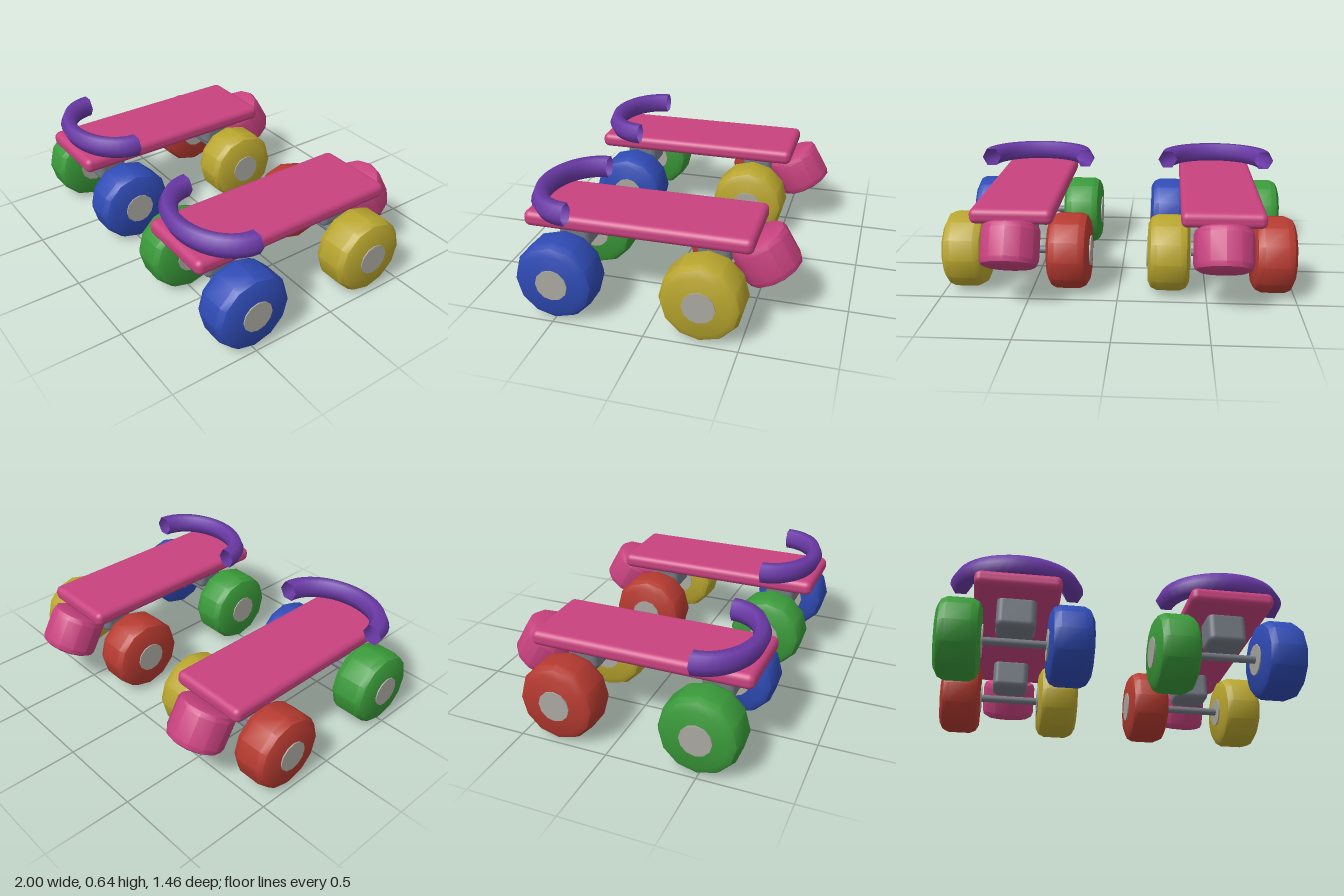
import * as THREE from 'three';
import { toCreasedNormals } from 'three/addons/utils/BufferGeometryUtils.js';
import { RoundedBoxGeometry } from 'three/addons/geometries/RoundedBoxGeometry.js';

const mat = (color, extra = {}) => new THREE.MeshStandardMaterial({ color, ...extra });
const MATS = {
  pink: mat(0xc8427f),
  purple: mat(0x6b3aa8, { side: THREE.DoubleSide }),
  metal: mat(0x737983),
  hub: mat(0xaaa8a0),
  green: mat(0x3a9a3a),
  blue: mat(0x2f4bb5),
  red: mat(0xb53a30),
  yellow: mat(0xb8a52e),
};

const WHEEL_Y = 0.222;
const WHEEL_X = 0.295;

// Low-poly solid of revolution with crisp bevels
function lathe(profile, sides) {
  const points = profile.map(([r, y]) => new THREE.Vector2(r, y));
  return toCreasedNormals(new THREE.LatheGeometry(points, sides), 0.6);
}

function add(parent, name, geometry, material, x = 0, y = 0, z = 0) {
  const mesh = new THREE.Mesh(geometry, material);
  mesh.name = name;
  mesh.position.set(x, y, z);
  parent.add(mesh);
  return mesh;
}

const wheelGeometry = lathe([
  [0, -0.118], [0.17, -0.118], [0.205, -0.1], [0.222, -0.065],
  [0.222, 0.065], [0.205, 0.1], [0.17, 0.118], [0, 0.118],
], 12).rotateZ(Math.PI / 2);

const hubGeometry = new THREE.CylinderGeometry(0.088, 0.088, 0.25, 12).rotateZ(Math.PI / 2);
const axleGeometry = new THREE.CylinderGeometry(0.022, 0.022, 0.6, 10).rotateZ(Math.PI / 2);
const truckGeometry = new RoundedBoxGeometry(0.215, 0.19, 0.18, 3, 0.035);
const plateGeometry = new RoundedBoxGeometry(0.465, 0.088, 1.245, 3, 0.035);

// Stopper: short bevelled drum
const stopperGeometry = lathe([
  [0, -0.12], [0.13, -0.12], [0.155, -0.107], [0.165, -0.08],
  [0.165, 0.08], [0.155, 0.107], [0.13, 0.12], [0, 0.12],
], 12);

// Toe guard: open half ring, flattened front to back
const guardGeometry = new THREE.TorusGeometry(0.31, 0.06, 6, 20, Math.PI)
  .rotateX(Math.PI / 2)
  .scale(1, 1.05, 0.78);

// Truck, axle and a pair of wheels
function createAxleSet(name, z, rightMaterial, leftMaterial) {
  const set = new THREE.Group();
  set.name = name;
  set.position.z = z;
  add(set, 'truck', truckGeometry, MATS.metal, 0, 0.372, 0);
  add(set, 'axle', axleGeometry, MATS.metal, 0, WHEEL_Y, 0);
  for (const [side, sign, material] of [['right', -1, rightMaterial], ['left', 1, leftMaterial]]) {
    add(set, side + 'Wheel', wheelGeometry, material, sign * WHEEL_X, WHEEL_Y, 0);
    add(set, side + 'Hub', hubGeometry, MATS.hub, sign * WHEEL_X, WHEEL_Y, 0);
  }
  return set;
}

function createSkate(name, x) {
  const skate = new THREE.Group();
  skate.name = name;
  skate.position.x = x;

  add(skate, 'footPlate', plateGeometry, MATS.pink, 0, 0.485, 0.0975);
  add(skate, 'toeGuard', guardGeometry, MATS.purple, 0, 0.59, 0.43);
  const stopper = add(skate, 'stopper', stopperGeometry, MATS.pink, 0, 0.337, -0.555);
  stopper.rotation.x = Math.PI / 6;

  skate.add(createAxleSet('frontAxleSet', 0.493, MATS.green, MATS.blue));
  skate.add(createAxleSet('rearAxleSet', -0.293, MATS.red, MATS.yellow));
  return skate;
}

export function createModel() {
  const model = new THREE.Group();
  model.name = 'rollerSkates';
  model.add(createSkate('rightSkate', -0.58), createSkate('leftSkate', 0.58));
  return model;
}
